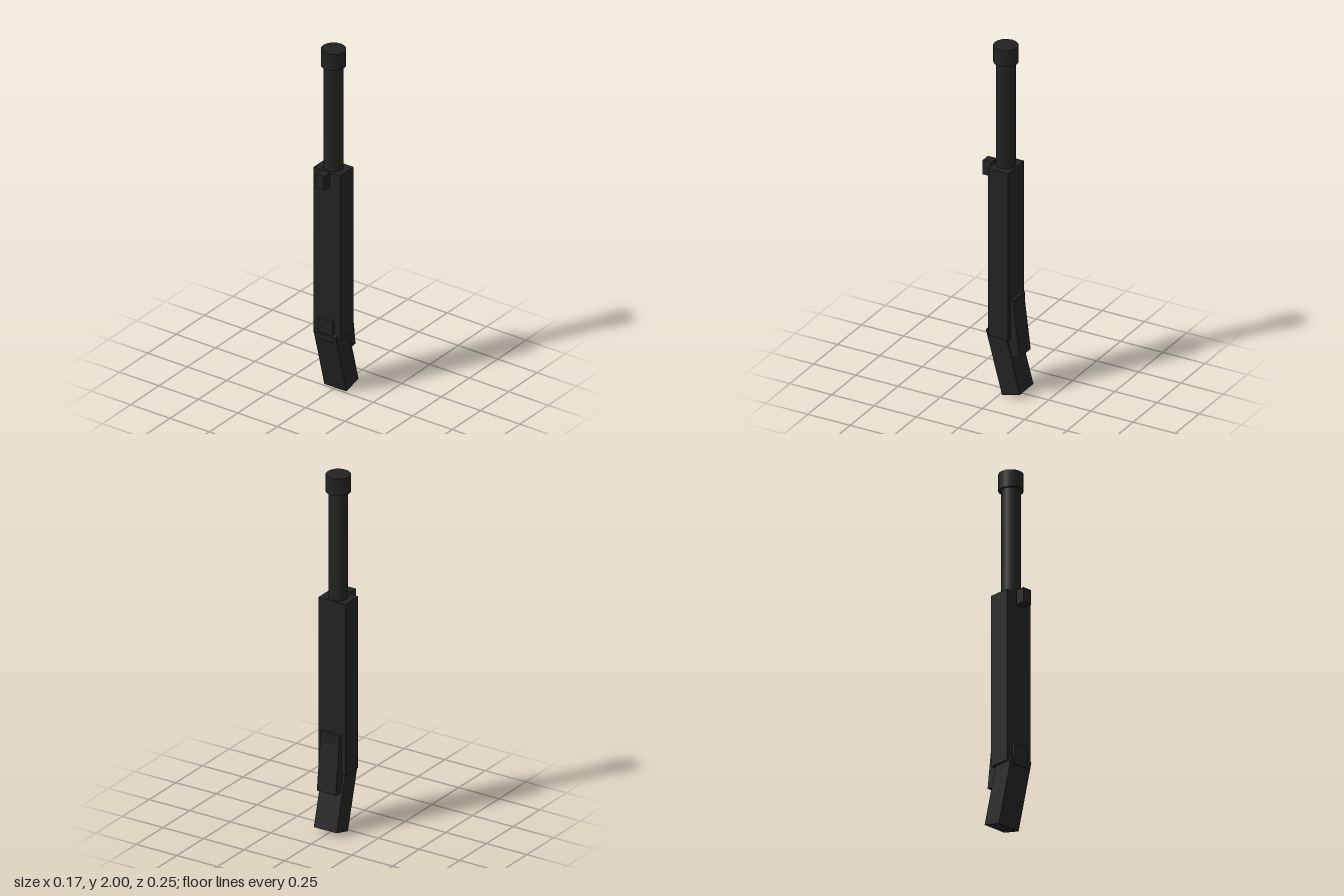
import * as THREE from 'three';

export function createModel() {
  const model = new THREE.Group();
  const darkMetal = new THREE.MeshStandardMaterial({ color: 0x222222 });
  darkMetal.name = 'darkMetal';

  const add = (name, geometry, x, y, z, tilt = 0) => {
    const mesh = new THREE.Mesh(geometry, darkMetal);
    mesh.name = name;
    mesh.position.set(x, y, z);
    mesh.rotation.x = tilt;
    model.add(mesh);
  };
  const box = (name, size, position, tiltDegrees = 0) =>
    add(name, new THREE.BoxGeometry(...size), ...position, THREE.MathUtils.degToRad(tiltDegrees));
  const tube = (name, radius, y0, y1) =>
    add(name, new THREE.CylinderGeometry(radius, radius, y1 - y0, 16), 0, (y0 + y1) / 2, 0.003);

  // Long body with the round barrel and its end cap
  box('body', [0.166, 0.97, 0.12], [0, 1.82 - 1, 0.003]);
  tube('barrel', 0.052, 1.28, 1.92);
  tube('barrelCap', 0.066, 1.905, 2);

  // Small block floating just off the front, near the top of the body
  box('frontSight', [0.055, 0.082, 0.053], [0, 1.27, 0.099]);

  // Raised block low on the front
  box('rearSight', [0.092, 0.12, 0.06], [0, 0.38, 0.048]);

  // Slanted lower end
  box('stock', [0.14, 0.37, 0.11], [0, 0.194, -0.019], 15);

  // Short block and tilted piece on the back
  box('gripBase', [0.116, 0.12, 0.08], [0, 0.5, -0.037]);
  box('grip', [0.116, 0.27, 0.075], [0, 0.365, -0.057], 7);

  return model;
}
